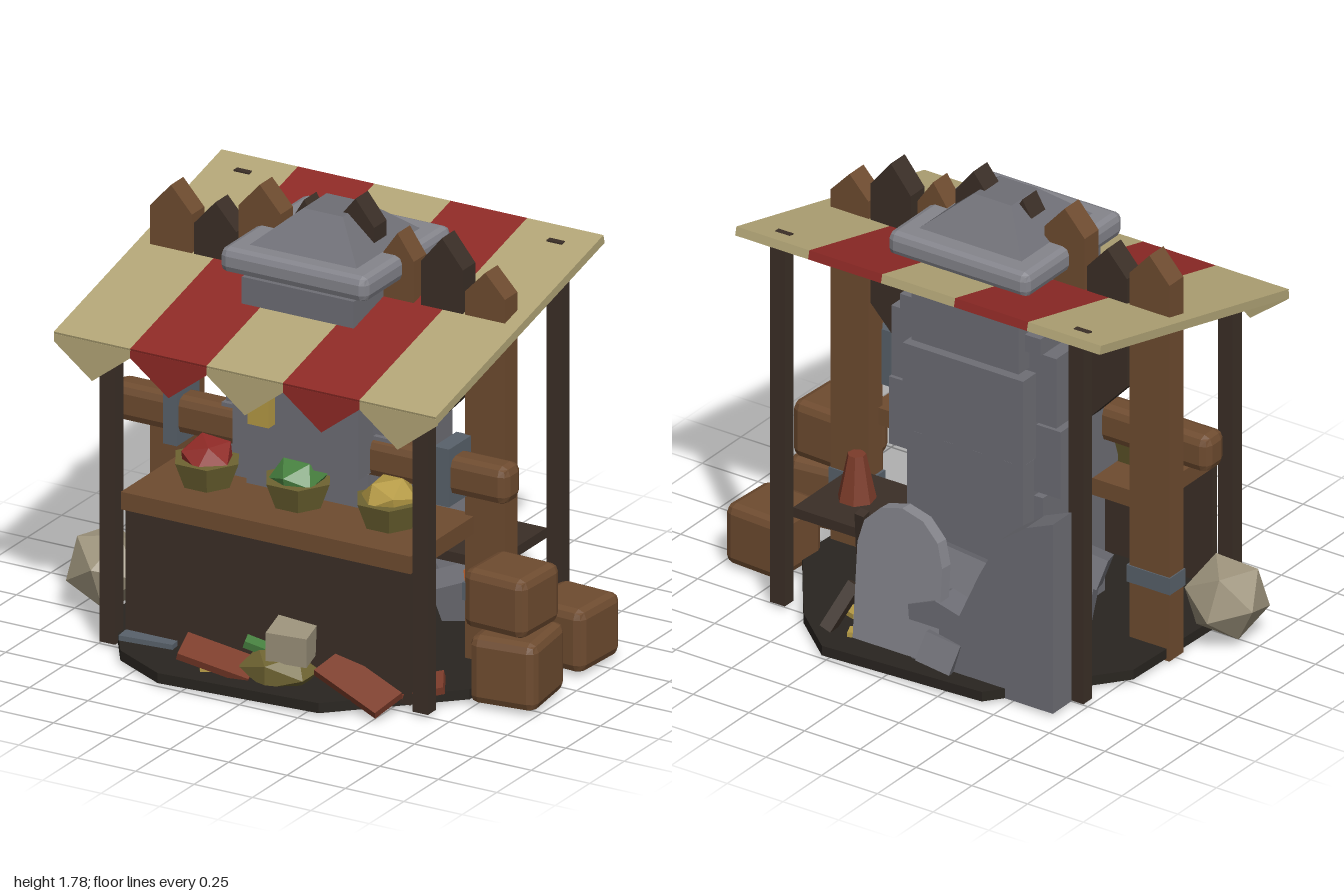
import * as THREE from 'three';
import { RoundedBoxGeometry } from 'three/addons/geometries/RoundedBoxGeometry.js';

const paint = (color) => new THREE.MeshStandardMaterial({ color, flatShading: true });

export function createModel() {
  const root = new THREE.Group();
  const wood = paint(0x6f4c30), dark = paint(0x3b2f27), earth = paint(0x292520);
  const stone = paint(0x6e6e75), paleStone = paint(0x85858c), iron = paint(0x59626b);
  const cream = paint(0xb3a677), red = paint(0x8f2a26), clay = paint(0x7c3c2a);
  const basket = paint(0x6f6432), green = paint(0x47803f), yellow = paint(0xb59a45);
  const orange = paint(0xc4602a), bone = paint(0x9d937c);
  cream.side = red.side = THREE.DoubleSide;

  const add = (name, geometry, material, pos = [0, 0, 0], rot = [0, 0, 0]) => {
    const mesh = new THREE.Mesh(geometry, material);
    mesh.name = name;
    mesh.position.set(...pos);
    mesh.rotation.set(...rot);
    root.add(mesh);
    return mesh;
  };
  // Box given by its limits on each axis
  const block = (name, mat, x0, x1, y0, y1, z0, z1) =>
    add(name, new THREE.BoxGeometry(x1 - x0, y1 - y0, z1 - z0), mat,
      [(x0 + x1) / 2, (y0 + y1) / 2, (z0 + z1) / 2]);
  const slab = (name, mat, size, pos, rot) => add(name, new THREE.BoxGeometry(...size), mat, pos, rot);
  const chamfered = (name, mat, size, pos, rot, r = 0.035) =>
    add(name, new RoundedBoxGeometry(...size, 1, r), mat, pos, rot);
  // Flat outline extruded along z, centred on z
  const cutout = (name, mat, points, depth, z, rot) => {
    const shape = new THREE.Shape(points.map((p) => new THREE.Vector2(...p)));
    const geo = new THREE.ExtrudeGeometry(shape, { depth, bevelEnabled: false });
    return add(name, geo.translate(0, 0, -depth / 2), mat, [0, 0, z], rot);
  };

  // Ground plate
  const ground = cutout('ground', earth, [[-0.8, -0.3], [-0.78, 0.25], [-0.42, 0.71], [0.27, 0.75],
    [0.47, 0.58], [0.74, 0.2], [0.72, -0.3], [0.31, -0.7], [-0.35, -0.75], [-0.58, -0.63]], 0.04, 0, [-Math.PI / 2, 0, 0]);
  ground.position.y = 0.04;

  // Fence planks with pointed tops: x0, x1, outer bottom, inner bottom, shoulder, tip
  [[-0.8, -0.62, 0.01, 0.01, 1.58, 1.68, wood], [-0.61, -0.43, 1.1, 0.91, 1.55, 1.65, dark],
   [-0.42, -0.24, 1.2, 1.2, 1.66, 1.76, wood], [-0.2, -0.08, 1.2, 1.2, 1.64, 1.74, dark],
   [0.0, 0.16, 1.2, 1.2, 1.69, 1.79, dark], [0.19, 0.33, 1.2, 1.2, 1.59, 1.69, wood],
   [0.36, 0.54, 0.91, 1.1, 1.6, 1.71, dark], [0.55, 0.72, 0.01, 0.01, 1.52, 1.61, wood],
  ].forEach(([x0, x1, b0, b1, shoulder, tip, mat]) =>
    cutout('fencePlank', mat, [[x0, b0], [x1, b1], [x1, shoulder], [(x0 + x1) / 2, tip], [x0, shoulder]], 0.09, 0));

  // Stone tower: stacked courses
  [[-0.34, 0.27, 0.02, 0.62, -0.2, 0.2], [-0.3, 0.22, 0.5, 0.77, -0.27, 0.19],
   [-0.42, 0.35, 0.64, 0.92, -0.2, 0.17], [-0.4, 0.34, 0.93, 1.22, -0.2, 0.17],
   [-0.31, 0.23, 0.78, 1.135, -0.285, 0.275], [-0.28, 0.2, 1.15, 1.48, -0.27, 0.26],
   [-0.35, 0.28, 1.23, 1.3, -0.23, 0.22],
  ].forEach((limits) => block('towerStone', stone, ...limits));
  chamfered('towerCapSlab', paleStone, [0.63, 0.1, 0.63], [-0.035, 1.55, -0.005], [0, 0, 0], 0.03);
  add('towerCapPyramid', new THREE.CylinderGeometry(0.119, 0.332, 0.13, 4).rotateY(Math.PI / 4), stone, [-0.035, 1.66, 0]);

  // Crossbeam with iron straps and post bands
  chamfered('crossbeam', wood, [1.7, 0.15, 0.125], [-0.04, 0.835, 0.13]);
  [[-0.65, -0.59], [0.51, 0.575]].forEach(([a, b]) => block('beamStrap', iron, a, b, 0.72, 0.95, 0.04, 0.205));
  [[-0.805, -0.61], [0.54, 0.725]].forEach(([a, b]) => block('postBand', iron, a, b, 0.29, 0.36, -0.05, 0.05));

  // Canopy: five sloping stripes, each with a hanging pennant
  const tilt = Math.atan(0.245), stripe = 0.327;
  for (let i = 0; i < 5; i++) {
    const x = -0.037 + (i - 2) * stripe, mat = i % 2 ? red : cream;
    slab('canopyStripe', mat, [stripe, 0.035, 1.25], [x, 1.41, 0.037], [tilt, 0, 0]);
    const h = stripe / 2;
    cutout('canopyPennant', mat, [[x - h, 1.27], [x - h, 1.24], [x, 1.115], [x + h, 1.24], [x + h, 1.27]], 0.015, 0.64);
  }
  [-0.707, 0.632].forEach((x) => {
    block('frontPost', dark, x - 0.033, x + 0.033, 0.02, 1.28, 0.45, 0.51);
    block('backPost', dark, x - 0.033, x + 0.033, 0.02, 1.556, -0.515, -0.46);
  });
  block('hangingLantern', yellow, -0.08, 0.01, 1.04, 1.165, 0.51, 0.555);
  block('lanternCord', dark, -0.04, -0.03, 1.165, 1.3, 0.53, 0.537);

  // Counter
  block('counterTop', wood, -0.655, 0.585, 0.56, 0.63, 0.02, 0.5);
  block('counterFront', dark, -0.645, 0.575, 0.03, 0.56, 0.455, 0.485);

  // Baskets of produce
  [[-0.425, red], [-0.035, green], [0.355, yellow]].forEach(([x, mat]) => {
    add('basket', new THREE.CylinderGeometry(0.135, 0.095, 0.105, 6).rotateY(Math.PI / 6), basket, [x, 0.68, 0.265]);
    const heap = add('produce', new THREE.IcosahedronGeometry(0.11, 0), mat, [x, 0.74, 0.265], [0.2, x * 2, 0]);
    heap.scale.set(1, 0.7, 1);
  });

  // Crates and boulder beside the stall
  chamfered('crate', wood, [0.27, 0.27, 0.29], [0.855, 0.155, 0.185], [0, 0.12, 0]);
  chamfered('crate', wood, [0.27, 0.235, 0.26], [0.82, 0.41, 0.165], [0, -0.05, 0]);
  chamfered('crate', wood, [0.26, 0.25, 0.27], [0.84, 0.145, -0.24], [0, -0.06, 0]);
  add('boulder', new THREE.IcosahedronGeometry(0.165, 0), bone, [-0.875, 0.19, 0.22], [0.3, 0.2, 0.1]);

  // Side shelf with jug and ember box
  block('shelf', dark, 0.28, 0.6, 0.37, 0.41, -0.46, -0.08);
  add('jug', new THREE.CylinderGeometry(0.035, 0.075, 0.19, 7), clay, [0.45, 0.5, -0.265]);
  slab('emberBox', orange, [0.1, 0.04, 0.1], [0.5, 0.325, -0.155], [0, 0.2, 0.1]);

  // Broken wall and round-topped stone at the back
  cutout('brokenWall', stone, [[-0.69, 0.02], [-0.06, 0.02], [-0.04, 0.28], [-0.16, 0.33], [-0.27, 0.3],
    [-0.36, 0.5], [-0.45, 0.67], [-0.57, 0.76], [-0.69, 0.81]], 0.12, -0.58);
  const arch = [[-0.18, 0.07], [0.2, 0.07]];
  for (let i = 0; i <= 6; i++) {
    const a = (i / 6) * Math.PI;
    arch.push([0.01 + 0.19 * Math.cos(a), 0.46 + 0.19 * Math.sin(a)]);
  }
  cutout('roundStone', paleStone, arch, 0.055, -0.56, [0.08, 0, 0]).position.z = -0.63;

  // Rubble: size, position, rotation
  [[stone, [0.14, 0.12, 0.1], [-0.19, 0.13, -0.64], [0.3, 0.3, 0.2]],
   [stone, [0.3, 0.5, 0.08], [-0.5, 0.27, -0.38], [0.35, 0.3, 0]],
   [stone, [0.16, 0.12, 0.12], [-0.6, 0.47, -0.3], [0.3, 0.4, 0.2]],
   [stone, [0.3, 0.3, 0.12], [0.0, 0.2, -0.33], [0.5, 0.1, 0.1]],
   [stone, [0.16, 0.18, 0.14], [0.32, 0.14, -0.3], [0.2, 0.5, 0.2]],
   [dark, [0.05, 0.2, 0.05], [0.3, 0.14, -0.58], [0.5, 0.2, 0.3]],
   [dark, [0.04, 0.26, 0.04], [0.3, 0.36, -0.44], [-0.2, 0, 0.1]],
   [iron, [0.22, 0.02, 0.08], [-0.53, 0.07, 0.5], [0, 0.1, 0]],
   [yellow, [0.09, 0.02, 0.05], [0.2, 0.07, -0.6], [0, 0.4, 0]],
   [yellow, [0.07, 0.02, 0.05], [0.32, 0.07, -0.48], [0, -0.3, 0]],
   [yellow, [0.06, 0.02, 0.04], [-0.2, 0.075, 0.64], [0, 0.6, 0]],
   [clay, [0.28, 0.03, 0.13], [-0.17, 0.11, 0.62], [0.3, 0.2, -0.35]],
   [clay, [0.32, 0.03, 0.14], [0.39, 0.1, 0.55], [0.35, -0.3, -0.18]],
   [clay, [0.16, 0.03, 0.12], [0.58, 0.08, 0.4], [0.2, 0.5, 0.12]],
   [bone, [0.16, 0.12, 0.16], [0.1, 0.205, 0.53], [0.1, 0.2, -0.06]],
   [green, [0.08, 0.03, 0.05], [-0.05, 0.165, 0.55], [0.2, 0.3, -0.4]],
  ].forEach(([mat, size, pos, rot]) => slab('rubble', mat, size, pos, rot));
  const sack = add('sack', new THREE.IcosahedronGeometry(0.15, 0), basket, [0.05, 0.09, 0.55]);
  sack.scale.set(1.1, 0.55, 0.8);

  return root;
}
